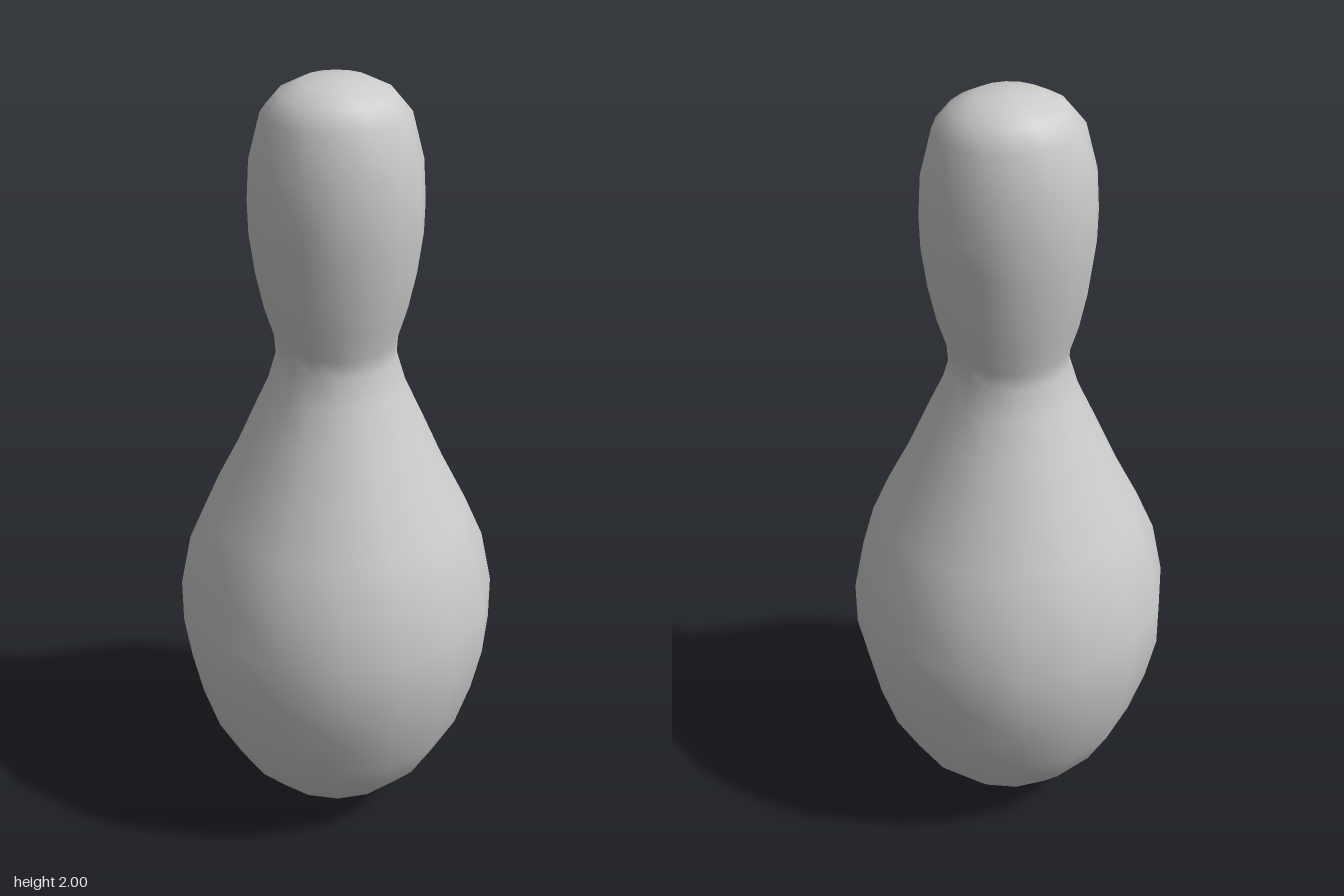
import * as THREE from 'three';
import { mergeVertices } from 'three/addons/utils/BufferGeometryUtils.js';

export function createModel() {
  const group = new THREE.Group();
  group.name = 'pin';

  // Profile from base to crown: [radius, height]
  const profile = [
    [0, 0.005], [0.09, 0.022], [0.15, 0.05], [0.205, 0.095], [0.275, 0.175],
    [0.335, 0.29], [0.375, 0.42], [0.4, 0.54], [0.4, 0.66], [0.372, 0.8],
    [0.325, 0.91], [0.265, 1.03], [0.208, 1.16], [0.167, 1.25], [0.145, 1.325],
    [0.148, 1.37], [0.17, 1.44], [0.189, 1.53], [0.202, 1.63], [0.204, 1.71],
    [0.198, 1.81], [0.17, 1.92], [0.133, 1.964], [0.08, 1.991], [0, 2],
  ].map(([r, y]) => new THREE.Vector2(r, y));

  let geometry = new THREE.LatheGeometry(profile, 16);

  // The head is slightly flattened front to back; the body stays round
  const pos = geometry.attributes.position;
  for (let i = 0; i < pos.count; i++) {
    const t = THREE.MathUtils.smoothstep(pos.getY(i), 1.33, 1.55);
    pos.setZ(i, pos.getZ(i) * (1 - 0.08 * t));
  }

  // Weld the seam and poles so shading is smooth all round
  geometry.deleteAttribute('uv');
  geometry.deleteAttribute('normal');
  geometry = mergeVertices(geometry, 1e-4);
  geometry.computeVertexNormals();

  const body = new THREE.Mesh(geometry, new THREE.MeshStandardMaterial({ color: 0xcccccc }));
  body.name = 'pinBody';
  group.add(body);
  return group;
}
